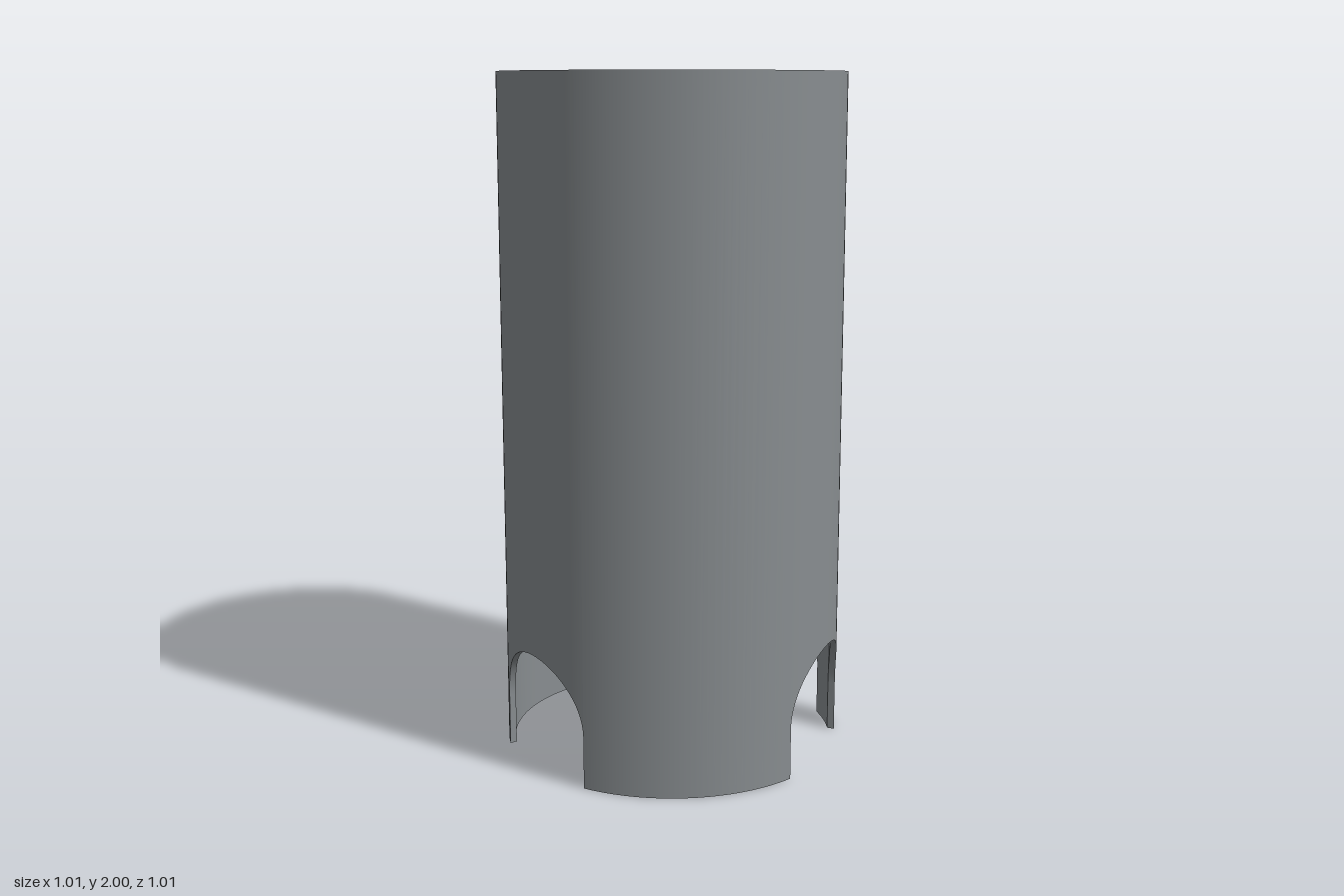
import * as THREE from 'three';
import { toCreasedNormals } from 'three/addons/utils/BufferGeometryUtils.js';

const R = 0.503, INNER = 0.483, HEIGHT = 2, CEILING = 1.98;
const HALF = 0.202, SPRING = 0.15, RISE = 0.2;
const rad = THREE.MathUtils.degToRad;

// Arched openings, as compass angles from the front (+z) towards +x
const archCentres = [42.5, 108, 282.6].map(rad);

// Stations around the wall: outer angle, inner angle, height of lower edge
function wallStations() {
  const stations = [];
  const outerHalf = Math.asin(HALF / R), innerHalf = Math.asin(HALF / INNER);
  archCentres.forEach((c, k) => {
    // Opening: straight jambs with a round head
    for (let i = 0; i <= 32; i++) {
      const phi = (i / 32 - 0.5) * Math.PI, w = HALF * Math.sin(phi);
      stations.push({
        outer: c + Math.asin(w / R),
        inner: c + Math.asin(w / INNER),
        y: SPRING + RISE * Math.cos(phi),
      });
    }
    // Solid wall up to the next opening
    const last = k === archCentres.length - 1;
    const next = last ? archCentres[0] + 2 * Math.PI : archCentres[k + 1];
    const n = Math.ceil((next - c - 2 * outerHalf) / rad(2.5));
    for (let i = 0; i <= n; i++) {
      stations.push({
        outer: THREE.MathUtils.lerp(c + outerHalf, next - outerHalf, i / n),
        inner: THREE.MathUtils.lerp(c + innerHalf, next - innerHalf, i / n),
        y: 0,
      });
    }
  });
  return stations;
}

// Closed band of quads between two rings of points
function band(a, b) {
  const n = a.length, index = [];
  for (let i = 0; i < n; i++) {
    const j = (i + 1) % n;
    index.push(i, j, n + j, i, n + j, n + i);
  }
  const geometry = new THREE.BufferGeometry().setFromPoints([...a, ...b]);
  geometry.setIndex(index);
  return toCreasedNormals(geometry, 0.6);
}

export function createModel() {
  const group = new THREE.Group();
  group.name = 'hollowCylinder';
  const grey = new THREE.MeshStandardMaterial({ color: 0x888d90 });
  grey.name = 'grey';

  const at = (angle, r, y) => new THREE.Vector3(r * Math.sin(angle), y, r * Math.cos(angle));
  const stations = wallStations();
  const outerLow = stations.map((s) => at(s.outer, R, s.y));
  const outerTop = stations.map((s) => at(s.outer, R, HEIGHT));
  const innerLow = stations.map((s) => at(s.inner, INNER, s.y));
  const innerTop = stations.map((s) => at(s.inner, INNER, CEILING));
  const centre = (y) => stations.map(() => new THREE.Vector3(0, y, 0));

  const add = (name, a, b) => {
    const mesh = new THREE.Mesh(band(a, b), grey);
    mesh.name = name;
    group.add(mesh);
  };
  add('outerWall', outerLow, outerTop);
  add('innerWall', innerTop, innerLow);
  add('lowerRimAndArchReveals', innerLow, outerLow);
  add('topCap', outerTop, centre(HEIGHT));
  add('ceiling', centre(CEILING), innerTop);
  return group;
}
